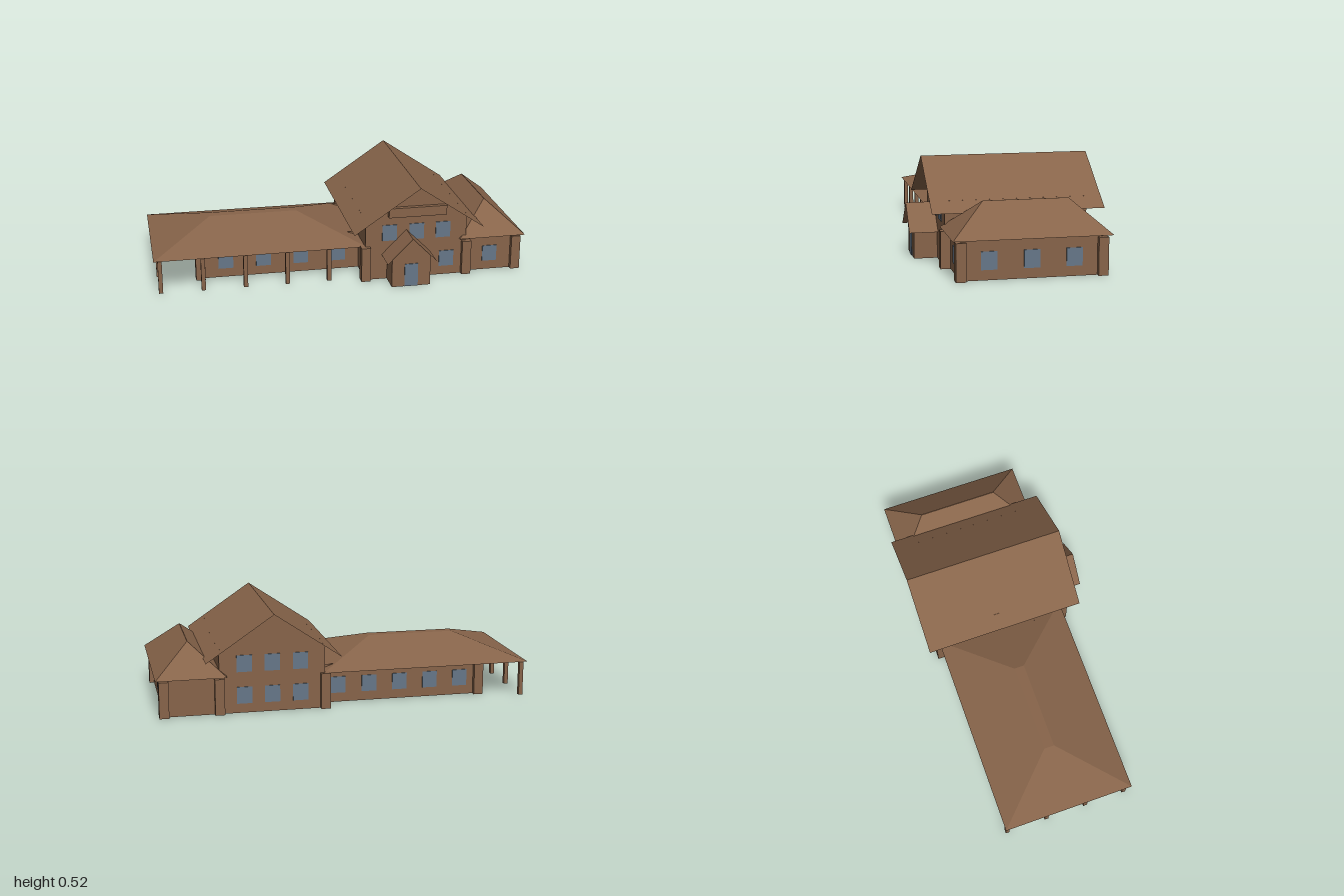
import * as THREE from 'three';

const brown = new THREE.MeshStandardMaterial({ color: 0x87644a, side: THREE.DoubleSide, flatShading: true });
brown.name = 'brown timber';
const blue = new THREE.MeshStandardMaterial({ color: 0x667788 });
blue.name = 'blue glass';

// Flat convex polygons, each a list of [x, y, z] corners, as one mesh
function sheet(name, polygons) {
  const pos = [];
  for (const p of polygons) {
    for (let i = 1; i < p.length - 1; i++) pos.push(...p[0], ...p[i], ...p[i + 1]);
  }
  const g = new THREE.BufferGeometry();
  g.setAttribute('position', new THREE.Float32BufferAttribute(pos, 3));
  g.computeVertexNormals();
  const m = new THREE.Mesh(g, brown);
  m.name = name;
  return m;
}

function box(name, mat, w, h, d, x, y, z) {
  const m = new THREE.Mesh(new THREE.BoxGeometry(w, h, d), mat);
  m.position.set(x, y, z);
  m.name = name;
  return m;
}

// Four walls without floor or ceiling
function walls(name, x0, x1, z0, z1, h) {
  const c = [[x0, z1], [x1, z1], [x1, z0], [x0, z0]];
  return sheet(name, c.map(([x, z], i) => {
    const [u, v] = c[(i + 1) % 4];
    return [[x, 0, z], [u, 0, v], [u, h, v], [x, h, z]];
  }));
}

// Gabled walls, open below, with the ridge along z
function gableWalls(name, x0, x1, z0, z1, eave, apex) {
  const xm = (x0 + x1) / 2;
  const end = z => [[x0, 0, z], [x1, 0, z], [x1, eave, z], [xm, apex, z], [x0, eave, z]];
  const side = x => [[x, 0, z1], [x, 0, z0], [x, eave, z0], [x, eave, z1]];
  return sheet(name, [end(z1), end(z0).reverse(), side(x1), side(x0).reverse()]);
}

// Two thin roof planes meeting at a ridge along z
function gableRoof(name, x0, x1, z0, z1, eave, apex) {
  const xm = (x0 + x1) / 2;
  return sheet(name, [
    [[x0, eave, z0], [x0, eave, z1], [xm, apex, z1], [xm, apex, z0]],
    [[x1, eave, z1], [x1, eave, z0], [xm, apex, z0], [xm, apex, z1]],
  ]);
}

// Hipped roof from a base rectangle up to a smaller top rectangle [x0, x1, z0, z1]
function hipRoof(name, base, y0, top, y1) {
  const ring = ([x0, x1, z0, z1], y) => [[x0, y, z1], [x1, y, z1], [x1, y, z0], [x0, y, z0]];
  const b = ring(base, y0), t = ring(top, y1);
  return sheet(name, [t, ...b.map((p, i) => [p, b[(i + 1) % 4], t[(i + 1) % 4], t[i]])]);
}

export function createModel() {
  const g = new THREE.Group();
  g.name = 'lodge';
  const T = 0.006, W = 0.08, LOW = 0.094, HIGH = 0.262;

  // Main hall
  g.add(gableWalls('hallWalls', 0.117, 0.67, -0.4, 0.325, 0.338, 0.523));
  g.add(gableRoof('hallRoof', 0.042, 0.745, -0.473, 0.4, 0.287, 0.525));
  g.add(box('gableTrim', brown, 0.315, 0.052, 0.025, 0.395, 0.379, 0.337));

  // Entrance porch
  g.add(gableWalls('porchWalls', 0.235, 0.443, 0.325, 0.445, 0.167, 0.273));
  g.add(gableRoof('porchRoof', 0.205, 0.472, 0.305, 0.472, 0.14, 0.275));
  g.add(box('door', blue, 0.072, 0.126, T, 0.339, 0.064, 0.446));

  // Side wing
  g.add(walls('wingWalls', 0.67, 0.955, -0.4, 0.3, 0.215));
  g.add(hipRoof('wingRoof', [0.632, 0.998, -0.445, 0.343], 0.202, [0.814, 0.816, -0.265, 0.163], 0.36));

  // Long wing under the veranda roof
  g.add(walls('longWingWalls', -0.748, 0.117, -0.31, 0.14, 0.21));
  g.add(hipRoof('longWingRoof', [-1, 0.125, -0.4, 0.312], 0.185, [-0.675, -0.2, -0.07, -0.015], 0.296));

  // Thick corner pillars
  const corners = [[0.117, 0.325], [0.67, 0.325], [0.117, -0.4], [0.67, -0.4],
    [0.955, 0.3], [0.955, -0.4], [-0.748, 0.14], [-0.748, -0.31]];
  for (const [x, z] of corners) g.add(box('cornerPillar', brown, 0.05, 0.19, 0.05, x, 0.095, z));

  // Slim veranda posts along the front and the end
  const post = (x, z) => g.add(box('verandaPost', brown, 0.022, 0.186, 0.022, x, 0.093, z));
  for (let i = 0; i < 5; i++) post(-0.968 + i * 0.2235, 0.288);
  for (let i = 1; i < 4; i++) post(-0.968, 0.288 - i * 0.224);

  // Windows
  const pane = (x, y, z) => g.add(box('window', blue, W, 0.088, T, x, y, z));
  for (const x of [0.247, 0.395, 0.54]) {
    pane(x, HIGH, 0.326);
    pane(x, HIGH, -0.401);
    pane(x, LOW, -0.401);
  }
  pane(0.562, LOW, 0.326);
  pane(0.813, LOW, 0.301);
  for (let i = 0; i < 4; i++) pane(-0.61 + i * 0.204, LOW, 0.141);
  for (let i = 0; i < 5; i++) pane(-0.645 + i * 0.168, LOW, -0.311);
  for (const z of [0.16, -0.05, -0.26]) g.add(box('window', blue, T, 0.09, W, 0.956, 0.096, z));

  return g;
}
